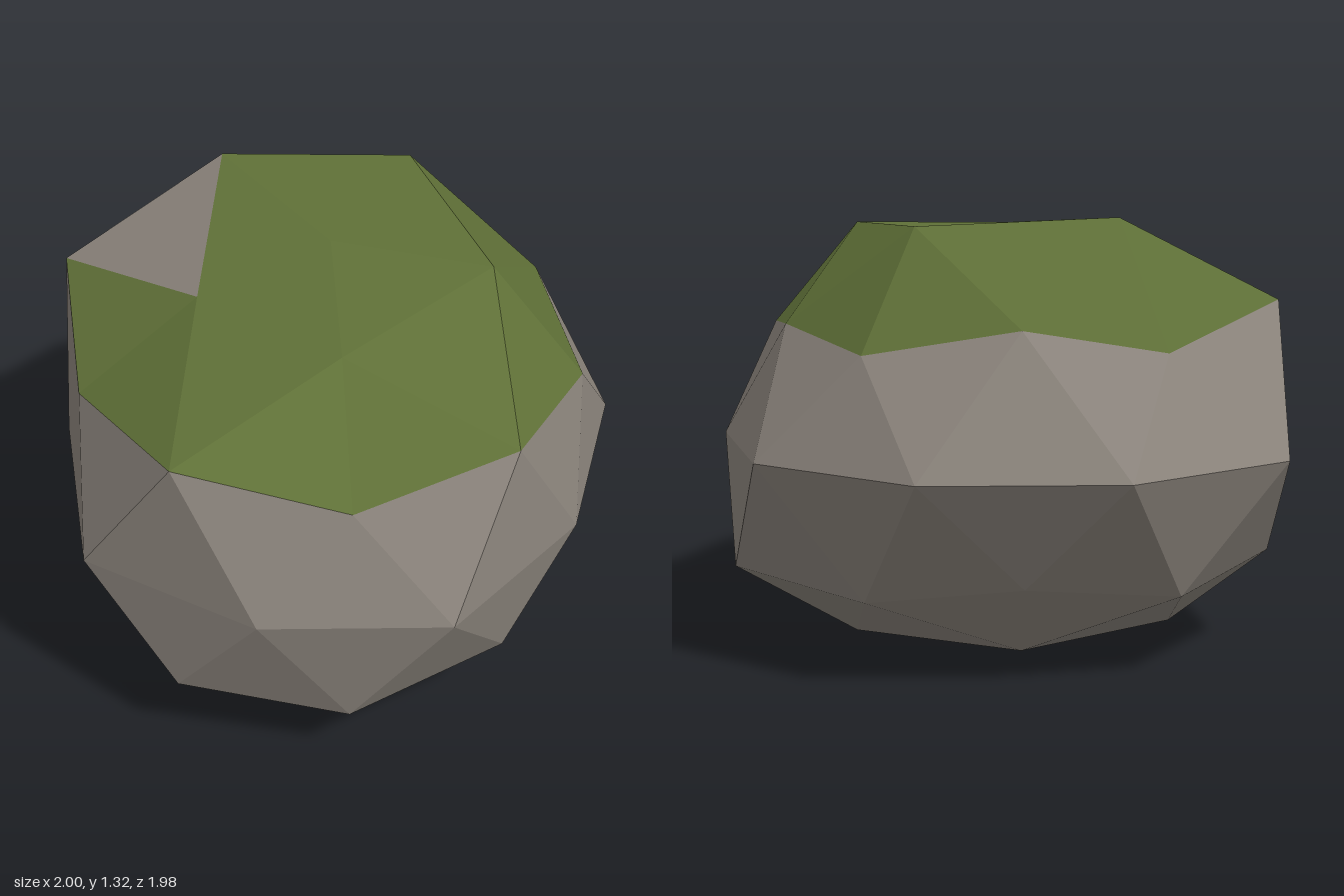
import * as THREE from 'three';

// Cross-section rings of the boulder, top to bottom, each running round from +x towards +z.
const MID = 0.635;
const top = [0.02, 1.29, -0.01];
const crown = [[0.42, 1.21, 0.28], [-0.1, 1.2, 0.4], [-0.55, 1.325, -0.04], [-0.2, 1.3, -0.52], [0.43, 1.285, -0.29]];
const shoulder = [
  [0.905, 1.05, 0.04], [0.73, 0.95, 0.5], [0.38, 1.07, 0.86], [-0.2, 0.965, 0.77], [-0.7, 1.07, 0.47],
  [-0.79, 0.95, -0.06], [-0.66, 1.03, -0.49], [-0.3, 0.95, -0.78], [0.2, 1.0, -0.71], [0.67, 0.96, -0.45],
];
const waist = [
  [0.995, 0.35], [0.65, 0.78], [0.1, 0.985], [-0.46, 0.66], [-0.98, 0.24],
  [-1, -0.38], [-0.65, -0.85], [-0.06, -0.99], [0.53, -0.73], [0.895, -0.23],
].map(([x, z]) => [x, MID, z]);
const skirt = [
  [0.885, 0.31, 0.04], [0.76, 0.23, 0.53], [0.38, 0.28, 0.87], [-0.2, 0.225, 0.72], [-0.68, 0.3, 0.46],
  [-0.83, 0.25, -0.04], [-0.66, 0.3, -0.48], [-0.26, 0.23, -0.75], [0.25, 0.27, -0.87], [0.64, 0.245, -0.43],
];
const foot = [[0.56, 0.035, 0.03], [0.17, 0.05, 0.47], [-0.41, 0.05, 0.3], [-0.42, 0.05, -0.3], [0.16, 0.03, -0.49]];
const bottom = [0.01, 0.003, 0];

const at = (ring, i) => ring[(i + ring.length) % ring.length];

// Cap of 20 triangles: a fan round the pole, then a five-to-ten transition band.
// shift is the index of the outer point lined up with inner point 0.
function capFaces(pole, inner, outer, shift) {
  const faces = [];
  for (let i = 0; i < 5; i++) {
    const a = inner[i], b = at(inner, i + 1), k = 2 * i + shift;
    faces.push([pole, a, b]);
    faces.push([a, at(outer, k - 1), at(outer, k)]);
    faces.push([a, at(outer, k), at(outer, k + 1)]);
    faces.push([a, at(outer, k + 1), b]);
  }
  return faces;
}

// Zigzag band between the waist and a ten-point ring.
function bandFaces(ring) {
  const faces = [];
  for (let k = 0; k < 10; k++) {
    faces.push([ring[k], waist[k], at(waist, k - 1)]);
    faces.push([ring[k], waist[k], at(ring, k + 1)]);
  }
  return faces;
}

// Flat-shaded mesh whose triangles all face away from the boulder's centre.
function facetMesh(name, faces, material) {
  const centre = new THREE.Vector3(0, MID, 0);
  const points = [];
  for (const face of faces) {
    const [a, b, c] = face.map((p) => new THREE.Vector3(...p));
    const normal = b.clone().sub(a).cross(c.clone().sub(a));
    const outward = normal.dot(a.clone().sub(centre)) > 0;
    points.push(...(outward ? [a, b, c] : [a, c, b]));
  }
  const geometry = new THREE.BufferGeometry().setFromPoints(points);
  geometry.computeVertexNormals();
  const mesh = new THREE.Mesh(geometry, material);
  mesh.name = name;
  return mesh;
}

export function createModel() {
  const stone = new THREE.MeshStandardMaterial({ name: 'stone grey', color: 0x8a837b });
  const moss = new THREE.MeshStandardMaterial({ name: 'moss green', color: 0x5f7037 });

  // Moss covers the whole upper cap except one bare facet.
  const upper = capFaces(top, crown, shoulder, 1);
  const bare = (f) => f.includes(crown[1]) && f.includes(crown[2]) && f.includes(shoulder[4]);
  const rock = [
    ...upper.filter(bare),
    ...bandFaces(shoulder),
    ...bandFaces(skirt),
    ...capFaces(bottom, foot, skirt, 0),
  ];

  const group = new THREE.Group();
  group.name = 'mossyBoulder';
  group.add(facetMesh('rock', rock, stone));
  group.add(facetMesh('mossCap', upper.filter((f) => !bare(f)), moss));
  return group;
}
